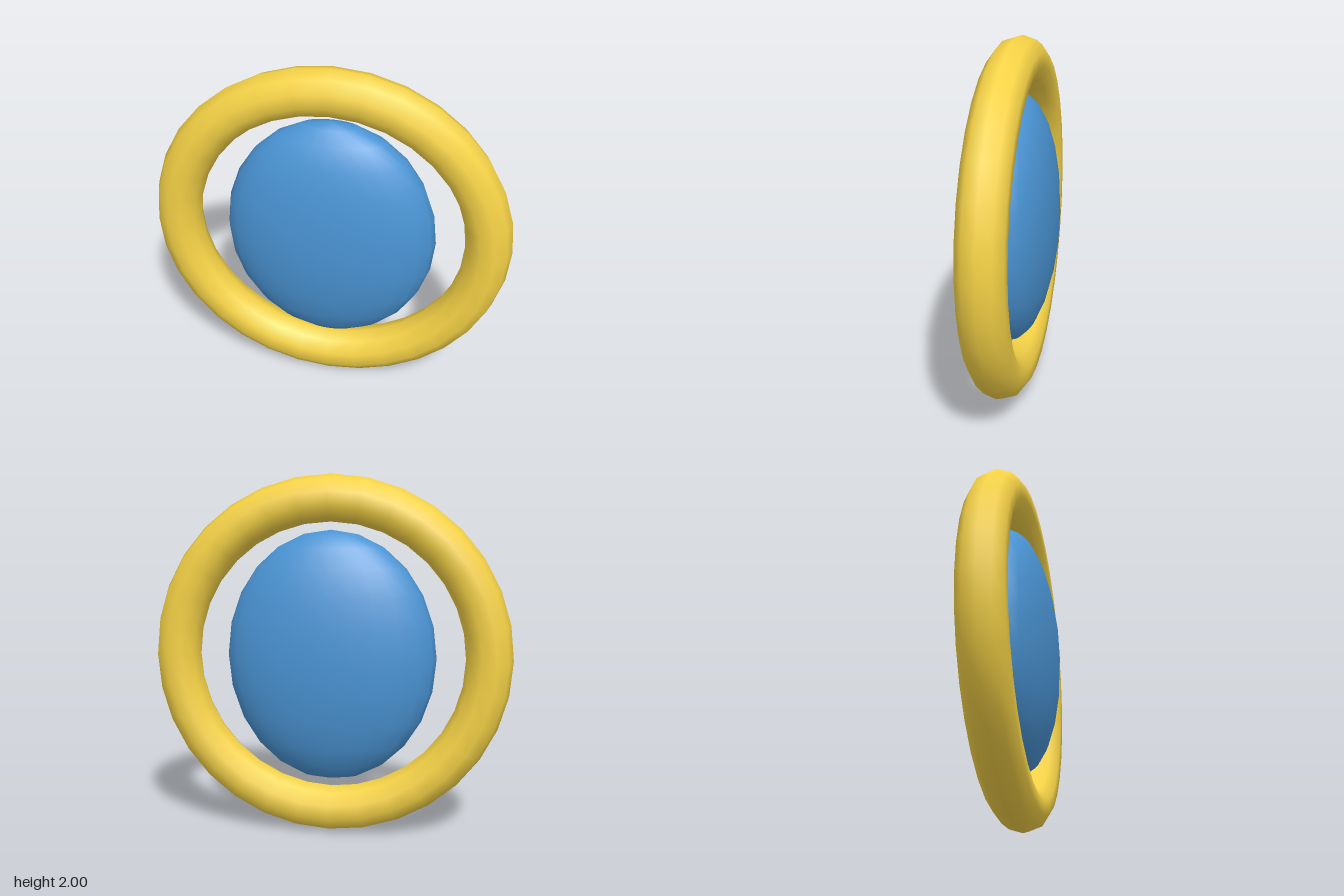
import * as THREE from 'three';

export function createModel() {
  const model = new THREE.Group();
  model.name = 'ringedDisc';

  const addPart = (name, geometry, color) => {
    const mesh = new THREE.Mesh(geometry, new THREE.MeshStandardMaterial({ color }));
    mesh.name = name;
    mesh.position.y = 1;
    model.add(mesh);
    return mesh;
  };

  // Upright yellow ring
  addPart('outerRing', new THREE.TorusGeometry(0.872, 0.128, 10, 32), 0xf5d246);

  // Flattened blue ellipsoid floating in the ring
  const core = addPart('ellipsoidCore', new THREE.SphereGeometry(1, 24, 12), 0x4a94d4);
  core.scale.set(0.585, 0.70, 0.232);

  return model;
}
